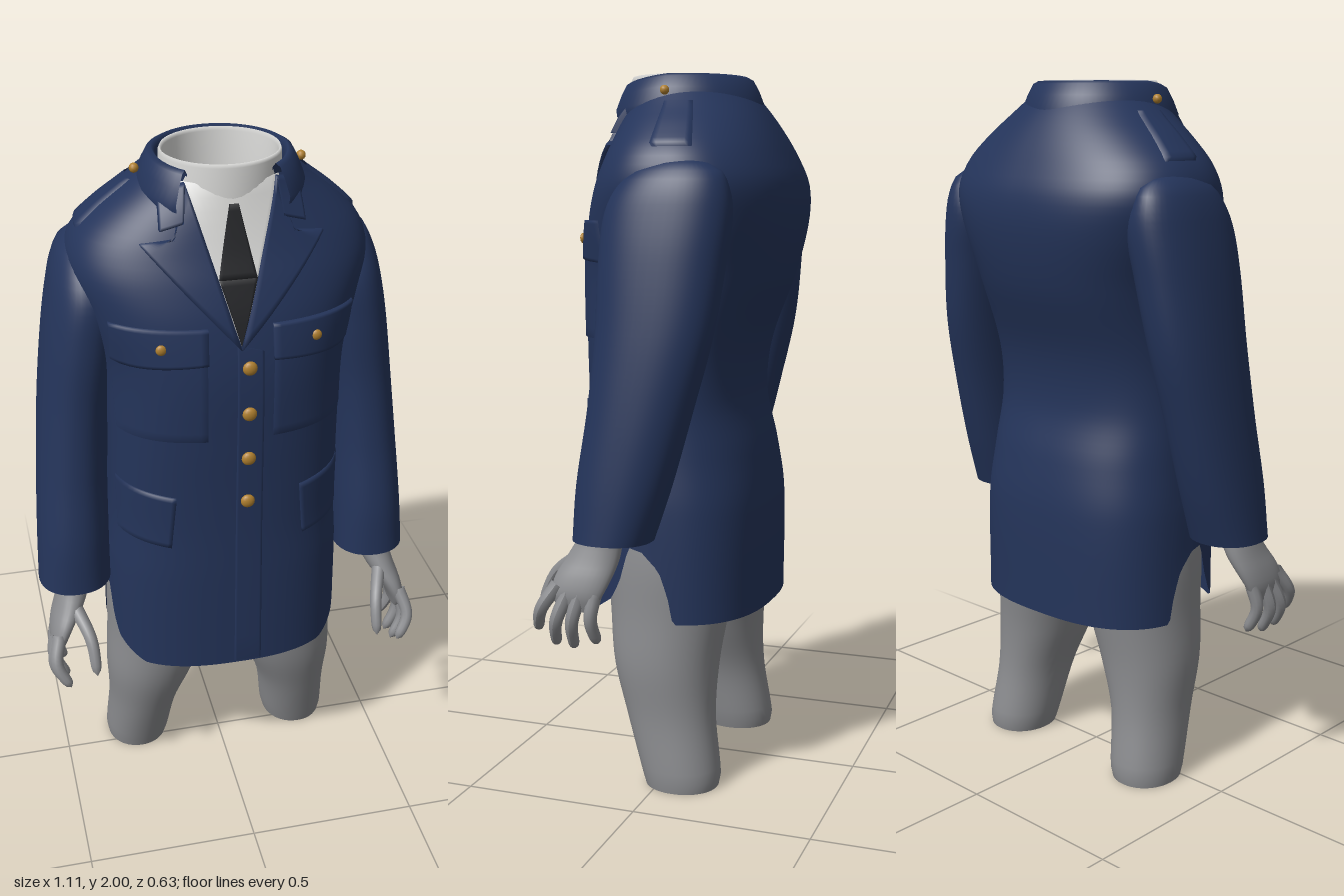
import * as THREE from 'three';

const mat = (name, color) => {
  const m = new THREE.MeshStandardMaterial({ color, side: THREE.DoubleSide });
  m.name = name;
  return m;
};
const navy = mat('navy cloth', 0x24345a);
const grey = mat('grey body', 0x8b8c8f);
const white = mat('white shirt', 0xdadad8);
const black = mat('black tie', 0x242528);
const gold = mat('brass', 0xb0802f);

// Surface from a function of u, v in 0..1; closed wraps around u
function grid(f, nu, nv, closed = false) {
  const pos = [], idx = [], w = closed ? nu : nu + 1;
  for (let j = 0; j <= nv; j++)
    for (let i = 0; i < w; i++) pos.push(...f(i / nu, j / nv));
  for (let j = 0; j < nv; j++)
    for (let i = 0; i < nu; i++) {
      const a = j * w + i, b = j * w + (i + 1) % w;
      idx.push(a, a + w, b, b, a + w, b + w);
    }
  const g = new THREE.BufferGeometry();
  g.setAttribute('position', new THREE.Float32BufferAttribute(pos, 3));
  g.setIndex(idx);
  g.computeVertexNormals();
  return g;
}

// Smooth blend of cross-sections [y, centre x, half width, back z, front z, roundness]
function rowAt(rows, y) {
  let i = 0;
  while (i < rows.length - 2 && y > rows[i + 1][0]) i++;
  const a = rows[i], b = rows[i + 1], p = rows[Math.max(i - 1, 0)], q = rows[Math.min(i + 2, rows.length - 1)];
  const h = b[0] - a[0], t = (y - a[0]) / h, t2 = t * t, t3 = t2 * t;
  return a.map((v, k) => {
    const m0 = (b[k] - p[k]) / (b[0] - p[0]) * h, m1 = (q[k] - v) / (q[0] - a[0]) * h;
    return (2 * t3 - 3 * t2 + 1) * v + (t3 - 2 * t2 + t) * m0 + (3 * t2 - 2 * t3) * b[k] + (t3 - t2) * m1;
  });
}
function sectionPoint(rows, angle, y, grow = 0) {
  const [, cx, hx, zb, zf, n] = rowAt(rows, y);
  const pw = v => Math.sign(v) * Math.abs(v) ** (2 / n);
  return [cx + (hx + grow) * pw(Math.cos(angle)), y, (zb + zf) / 2 + ((zf - zb) / 2 + grow) * pw(Math.sin(angle))];
}
function loft(rows, nu, nv) {
  const y0 = rows[0][0], y1 = rows[rows.length - 1][0];
  return grid((u, v) => sectionPoint(rows, u * Math.PI * 2, y0 + (y1 - y0) * v), nu, nv, true);
}
const cap = (rows, y) => grid((u, v) => {
  const p = sectionPoint(rows, u * Math.PI * 2, y), r = rowAt(rows, y), c = (r[3] + r[4]) / 2;
  return [r[1] + (p[0] - r[1]) * v, y, c + (p[2] - c) * v];
}, 32, 3, true);

const coat = [
  [0.49, 0, 0.35, -0.25, 0.27, 2.6], [0.8, 0, 0.345, -0.25, 0.272, 2.6],
  [0.95, 0, 0.335, -0.23, 0.272, 2.5], [1.1, 0, 0.33, -0.197, 0.275, 2.5],
  [1.25, 0, 0.33, -0.212, 0.28, 2.5], [1.45, 0, 0.342, -0.285, 0.283, 2.5],
  [1.6, 0, 0.385, -0.317, 0.265, 2.5], [1.7, 0, 0.412, -0.315, 0.238, 2.4],
  [1.78, 0, 0.388, -0.285, 0.21, 2.3], [1.85, 0, 0.32, -0.25, 0.19, 2.2],
  [1.91, 0, 0.245, -0.212, 0.175, 2.1], [1.95, 0, 0.2, -0.18, 0.165, 2],
];
const sleeve = [
  [0.75, 0.45, 0.105, -0.04, 0.18, 2.2], [0.9, 0.443, 0.103, -0.09, 0.172, 2.2],
  [1.1, 0.43, 0.1, -0.145, 0.145, 2.2], [1.3, 0.41, 0.1, -0.195, 0.13, 2.2],
  [1.5, 0.38, 0.104, -0.222, 0.13, 2.2], [1.62, 0.36, 0.102, -0.232, 0.12, 2.2],
  [1.69, 0.36, 0.083, -0.222, 0.085, 2.1], [1.74, 0.36, 0.055, -0.19, 0.03, 2], [1.77, 0.36, 0.005, -0.1, -0.08, 2],
];
const leg = [
  [0, 0.265, 0.094, -0.165, 0.045, 2.1], [0.03, 0.263, 0.1, -0.17, 0.055, 2.1],
  [0.2, 0.245, 0.108, -0.148, 0.11, 2.1], [0.35, 0.22, 0.138, -0.15, 0.155, 2.1],
  [0.5, 0.193, 0.157, -0.17, 0.175, 2.1], [0.65, 0.18, 0.165, -0.19, 0.19, 2.1], [0.85, 0.165, 0.155, -0.17, 0.18, 2.1],
];
const palm = [
  [0.56, 0.52, 0.012, 0.1, 0.2, 2.2], [0.6, 0.518, 0.024, 0.08, 0.225, 2.2],
  [0.65, 0.5, 0.034, 0.058, 0.22, 2.2], [0.7, 0.475, 0.043, 0.045, 0.195, 2.1],
  [0.76, 0.457, 0.047, 0.04, 0.165, 2], [0.86, 0.45, 0.05, 0.01, 0.14, 2],
];
// Fingers as start, knuckle and tip
const fingers = {
  thumb: [[0.465, 0.7, 0.165], [0.432, 0.635, 0.25], [0.425, 0.54, 0.3]],
  indexFinger: [[0.518, 0.63, 0.205], [0.535, 0.56, 0.25], [0.5, 0.49, 0.275]],
  middleFinger: [[0.52, 0.61, 0.175], [0.538, 0.53, 0.205], [0.5, 0.452, 0.22]],
  ringFinger: [[0.52, 0.61, 0.14], [0.535, 0.53, 0.16], [0.497, 0.446, 0.168]],
  littleFinger: [[0.515, 0.61, 0.1], [0.528, 0.54, 0.108], [0.497, 0.465, 0.1]],
};

function finger(points) {
  const curve = new THREE.CatmullRomCurve3(points.map(p => new THREE.Vector3(...p)));
  const n = 14, sides = 10, g = new THREE.TubeGeometry(curve, n, 1, sides);
  const p = g.attributes.position, v = new THREE.Vector3();
  for (let i = 0; i < p.count; i++) {
    const t = Math.floor(i / (sides + 1)) / n, c = curve.getPointAt(t);
    const r = (0.021 - 0.006 * t) * Math.sqrt(Math.max(0, 1 - Math.max(0, (t - 0.82) / 0.18) ** 2));
    v.fromBufferAttribute(p, i).sub(c).multiplyScalar(r).add(c);
    p.setXYZ(i, v.x, v.y, v.z);
  }
  g.computeVertexNormals();
  return g;
}

// Hem height around the skirt, rising to a vent at each side
const hemLine = [[-0.06, 0.49], [-0.045, 0.57], [-0.02, 0.64], [0.03, 0.69], [0.07, 0.7], [0.1, 0.6], [0.13, 0.545], [0.21, 0.49]];
function hem(z) {
  for (let i = 0; i < hemLine.length - 1; i++) {
    const [a, ya] = hemLine[i], [b, yb] = hemLine[i + 1];
    if (z >= a && z <= b) return ya + (yb - ya) * (z - a) / (b - a);
  }
  return 0.49;
}
function coatBody() {
  return grid((u, v) => {
    const y = 0.49 + 1.46 * v, p = sectionPoint(coat, u * Math.PI * 2, y);
    if (y < 0.85) p[1] = 0.85 - (0.85 - y) * (0.85 - hem(p[2])) / 0.36;
    return p;
  }, 180, 64, true);
}
function frontZ(x, y) {
  const [, , hx, zb, zf, n] = rowAt(coat, y);
  return (zb + zf) / 2 + (zf - zb) / 2 * Math.max(0, 1 - Math.abs(x / hx) ** n) ** (1 / n);
}
// Thin four-cornered plate lying on the coat front, rim turned down to the cloth
function patch(corners, lift, side = 1) {
  const [A, B, C, D] = corners, n = 14;
  const inner = t => Math.min(1, Math.max(0, (t * n - 1) / (n - 2)));
  return grid((u, v) => {
    const s = inner(u), t = inner(v), rim = u === 0 || u === 1 || v === 0 || v === 1;
    const mix = k => (A[k] * (1 - s) + B[k] * s) * (1 - t) + (D[k] * (1 - s) + C[k] * s) * t;
    const x = mix(0) * side, y = mix(1);
    return [x, y, frontZ(x, y) + (rim ? -0.002 : lift)];
  }, n, n);
}

export function createModel() {
  const root = new THREE.Group();
  const add = (name, geo, m) => {
    const mesh = new THREE.Mesh(geo, m);
    mesh.name = name;
    root.add(mesh);
    return mesh;
  };
  const button = (name, x, y, r) => {
    const b = add(name, new THREE.SphereGeometry(r, 16, 10), gold);
    b.position.set(x, y, frontZ(x, y) + 0.012);
    b.scale.z = 0.6;
  };

  add('coatBody', coatBody(), navy);
  add('pelvis', new THREE.SphereGeometry(1, 24, 16).scale(0.29, 0.2, 0.18).translate(0, 0.72, 0), grey);

  // Shirt front, tie and front closure
  add('shirtFront', patch([[0, 1.55], [0, 1.55], [0.13, 1.95], [-0.13, 1.95]], 0.004), white);
  add('tieTop', patch([[-0.05, 1.72], [0.05, 1.72], [0.012, 1.9], [-0.012, 1.9]], 0.009), black);
  add('tieBottom', patch([[0, 1.55], [0, 1.55], [0.05, 1.72], [-0.05, 1.72]], 0.009), black);
  add('frontOverlap', patch([[-0.01, 0.5], [0.07, 0.5], [0.06, 1.53], [-0.01, 1.55]], 0.005), navy);
  for (const y of [1.49, 1.355, 1.215, 1.075]) button('frontButton', 0.02, y, 0.02);

  // Shirt collar ring with the neck base inside it
  add('shirtCollar', grid((u, v) => {
    const a = u * Math.PI * 2, k = [[0.162, 1.89], [0.16, 1.99], [0.156, 2], [0.15, 1.99], [0.148, 1.88]][Math.round(v * 4)];
    return [k[0] * Math.cos(a), k[1], 0.023 + (k[0] - 0.006) * Math.sin(a)];
  }, 48, 4, true), white);
  add('neckBase', new THREE.SphereGeometry(1, 32, 12).scale(0.152, 0.05, 0.146).translate(0, 1.87, 0.023), grey);

  // Folded coat collar, open at the front
  const fold = [[0.164, 1.93], [0.166, 1.985], [0.176, 1.998], [0.19, 1.99], [0.206, 1.96], [0.222, 1.92], [0.22, 1.9]];
  add('coatCollar', grid((u, v) => {
    const a = Math.PI * (0.27 - 1.54 * u), [r, y] = fold[Math.round(v * 6)];
    const front = Math.max(0, Math.sin(a));
    return [r * Math.cos(a), y - 0.02 * front, 0.018 + (r - 0.012 * front) * Math.sin(a)];
  }, 56, 6), navy);

  for (const s of [1, -1]) {
    const mirror = g => g.scale(s, 1, 1);
    const side = s > 0 ? 'left' : 'right';
    const put = (name, g, m) => {
      // Reversed corner order keeps mirrored faces outward
      if (s < 0) { mirror(g); g.index.array.reverse(); g.computeVertexNormals(); }
      add(side + name, g, m);
    };
    put('Sleeve', loft(sleeve, 48, 48), navy);
    put('Leg', loft(leg, 40, 30), grey);
    put('LegEnd', cap(leg, 0), grey);
    put('Palm', loft(palm, 28, 20), grey);
    put('PalmEnd', cap(palm, 0.56), grey);
    for (const [name, pts] of Object.entries(fingers))
      put(name[0].toUpperCase() + name.slice(1), finger(pts), grey);

    // Shoulder strap with its button
    put('ShoulderStrap', grid((u, v) => {
      const rim = u === 0 || u === 1 || v === 0;
      return sectionPoint(coat, 0.1 - 0.42 * u, 1.79 + 0.13 * v, rim ? -0.002 : 0.009);
    }, 10, 10), navy);
    const stud = add(side + 'StrapButton', new THREE.SphereGeometry(0.013, 12, 8), gold);
    stud.position.set(0.222 * s, 1.95, 0.005);

    // Lapel, collar point, pockets and flaps
    add(side + 'Lapel', patch([[0, 1.54], [0.24, 1.805], [0.155, 1.82], [0.118, 1.95]], 0.015, s), navy);
    add(side + 'CollarPoint', patch([[0.13, 1.86], [0.19, 1.84], [0.185, 1.93], [0.118, 1.95]], 0.018, s), navy);
    add(side + 'ChestPocket', patch([[0.09, 1.275], [0.315, 1.275], [0.325, 1.58], [0.09, 1.58]], 0.006, s), navy);
    add(side + 'ChestFlap', patch([[0.088, 1.505], [0.325, 1.485], [0.33, 1.6], [0.086, 1.6]], 0.013, s), navy);
    add(side + 'HipFlap', patch([[0.19, 0.925], [0.322, 0.94], [0.322, 1.11], [0.175, 1.09]], 0.009, s), navy);
    button(side + 'PocketButton', 0.207 * s, 1.55, 0.015);
  }
  return root;
}
